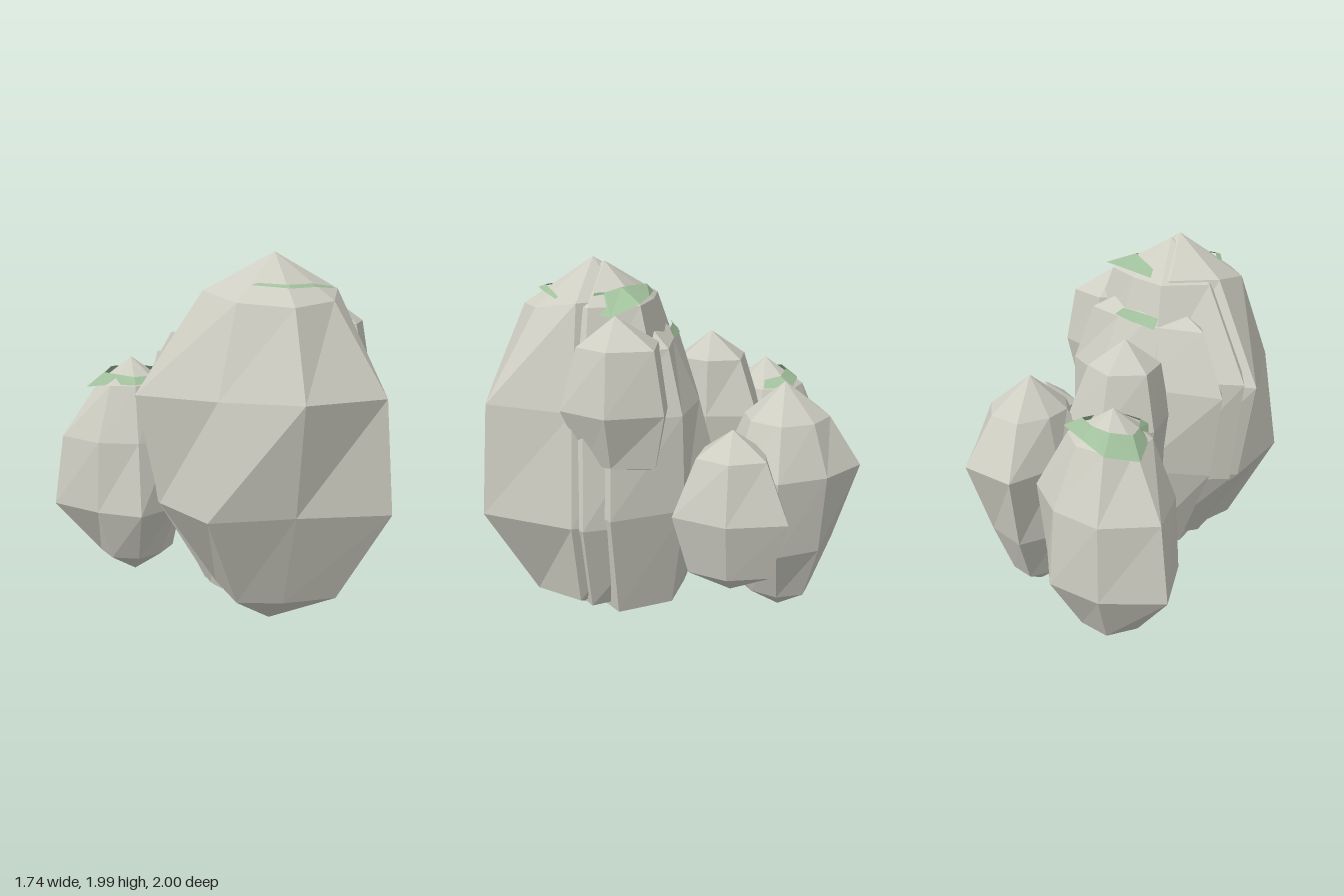
import * as THREE from 'three';

const stone = new THREE.MeshStandardMaterial({ color: 0xcdcdc2, flatShading: true });
stone.name = 'stone';
const moss = new THREE.MeshStandardMaterial({ color: 0xa0bf9b, flatShading: true, side: THREE.DoubleSide });
moss.name = 'moss';

function meshFrom(name, points, index, material) {
  const geo = new THREE.BufferGeometry();
  geo.setAttribute('position', new THREE.Float32BufferAttribute(points, 3));
  geo.setIndex(index);
  geo.computeVertexNormals();
  const mesh = new THREE.Mesh(geo, material);
  mesh.name = name;
  return mesh;
}

// Faceted boulder: two poles joined by rings of radii (from +x round through +z).
// Each ring sits at height y, lowered by "dip" towards its front.
function boulder(name, x, z, top, bottom, rings) {
  const n = rings[0][1].length;
  const pts = [x, top, z, x, bottom, z];
  const idx = [];
  const at = (r, k) => 2 + r * n + (k % n);
  for (const [y, radii, dip = 0] of rings) {
    radii.forEach((r, k) => {
      const a = (k / n) * Math.PI * 2;
      pts.push(x + r * Math.cos(a), y - dip * Math.max(0, Math.sin(a)), z + r * Math.sin(a));
    });
  }
  const last = rings.length - 1;
  for (let k = 0; k < n; k++) {
    idx.push(0, at(0, k + 1), at(0, k));
    for (let r = 0; r < last; r++) {
      idx.push(at(r, k), at(r, k + 1), at(r + 1, k + 1), at(r, k), at(r + 1, k + 1), at(r + 1, k));
    }
    idx.push(1, at(last, k), at(last, k + 1));
  }
  return meshFrom(name, pts, idx, stone);
}

// Thin moss ribbon between an outer and an inner edge
function mossPatch(name, outer, inner) {
  const n = outer.length;
  const idx = [];
  for (let i = 0; i < n - 1; i++) idx.push(i, i + 1, n + i, i + 1, n + i + 1, n + i);
  return meshFrom(name, [...outer, ...inner].flat(), idx, moss);
}

export function createModel() {
  const group = new THREE.Group();
  group.name = 'boulderCluster';

  // Large boulder with two more merged into its back
  group.add(boulder('mainBoulder', 0.25, 0.42, 1.99, 0.0, [
    [1.8, [0.34, 0.34, 0.38, 0.36, 0.37, 0.34, 0.28, 0.28], 0.06],
    [1.28, [0.48, 0.64, 0.58, 0.52, 0.72, 0.5, 0.45, 0.45], -0.03],
    [0.7, [0.56, 0.69, 0.47, 0.61, 0.6, 0.5, 0.45, 0.5], -0.03],
    [0.24, [0.44, 0.4, 0.27, 0.34, 0.3, 0.3, 0.3, 0.3], 0.04],
  ]));
  group.add(boulder('mainBoulderMiddle', 0.25, 0.36, 1.97, 0.01, [
    [1.78, [0.34, 0.3, 0.3, 0.3, 0.36, 0.33, 0.26, 0.34]],
    [1.3, [0.49, 0.45, 0.4, 0.4, 0.69, 0.52, 0.41, 0.52]],
    [0.69, [0.56, 0.45, 0.4, 0.4, 0.6, 0.52, 0.5, 0.54]],
    [0.21, [0.43, 0.3, 0.3, 0.3, 0.32, 0.32, 0.36, 0.36]],
  ]));
  group.add(boulder('mainBoulderBack', 0.25, 0.22, 1.75, 0.01, [
    [1.57, [0.4, 0.25, 0.25, 0.25, 0.5, 0.3, 0.22, 0.34]],
    [1.25, [0.5, 0.4, 0.4, 0.4, 0.68, 0.42, 0.36, 0.46]],
    [0.75, [0.55, 0.4, 0.4, 0.4, 0.59, 0.45, 0.49, 0.48]],
    [0.18, [0.42, 0.3, 0.3, 0.3, 0.32, 0.3, 0.28, 0.36]],
  ]));

  // Small boulder high on the left flank
  group.add(boulder('flankBoulder', 0.61, 0.22, 1.75, 0.95, [
    [1.61, [0.2, 0.2, 0.2, 0.2, 0.22, 0.25]],
    [1.3, [0.26, 0.29, 0.27, 0.22, 0.28, 0.31]],
    [1.02, [0.16, 0.17, 0.15, 0.15, 0.22, 0.25]],
  ]));

  // Rear boulders
  group.add(boulder('backBoulder', 0.21, -0.59, 1.36, 0.06, [
    [1.18, [0.25, 0.23, 0.21, 0.2, 0.2, 0.25, 0.24, 0.23]],
    [0.92, [0.38, 0.33, 0.32, 0.33, 0.28, 0.43, 0.41, 0.34]],
    [0.5, [0.34, 0.32, 0.36, 0.34, 0.27, 0.34, 0.28, 0.3]],
    [0.2, [0.2, 0.2, 0.24, 0.2, 0.17, 0.2, 0.17, 0.2]],
  ]));
  group.add(boulder('rightBoulder', -0.39, -0.44, 1.35, 0.0, [
    [1.2, [0.2, 0.2, 0.19, 0.2, 0.2, 0.22, 0.22, 0.24]],
    [0.88, [0.32, 0.3, 0.3, 0.32, 0.42, 0.38, 0.36, 0.42]],
    [0.46, [0.31, 0.32, 0.38, 0.34, 0.48, 0.4, 0.4, 0.38]],
    [0.14, [0.24, 0.2, 0.21, 0.22, 0.21, 0.24, 0.22, 0.24]],
  ]));

  // Raised stones wedged between the large ones
  group.add(boulder('middleBoulder', -0.07, -0.16, 1.56, 0.6, [
    [1.42, [0.16, 0.18, 0.19, 0.2, 0.2, 0.2]],
    [1.12, [0.2, 0.22, 0.24, 0.27, 0.3, 0.32]],
    [0.74, [0.16, 0.18, 0.2, 0.2, 0.2, 0.2]],
  ]));
  group.add(boulder('leftBoulder', 0.5, -0.35, 1.17, 0.28, [
    [1.04, [0.18, 0.2, 0.18, 0.17, 0.18, 0.21]],
    [0.74, [0.26, 0.33, 0.3, 0.22, 0.26, 0.35]],
    [0.42, [0.19, 0.24, 0.2, 0.18, 0.2, 0.25]],
  ]));

  // Moss ribbons near the summits
  group.add(mossPatch('frontMoss',
    [[0.03, 1.84, 0.5], [0.1, 1.835, 0.61], [0.25, 1.825, 0.72], [0.4, 1.825, 0.64], [0.53, 1.81, 0.54]],
    [[0.05, 1.85, 0.49], [0.12, 1.845, 0.59], [0.25, 1.84, 0.68], [0.39, 1.84, 0.61], [0.52, 1.82, 0.53]]));
  group.add(mossPatch('summitMoss',
    [[0.12, 1.8, 0.13], [0.36, 1.81, 0.1], [0.55, 1.8, 0.11], [0.62, 1.74, 0.24], [0.54, 1.75, 0.37]],
    [[0.14, 1.84, 0.16], [0.38, 1.86, 0.22], [0.42, 1.86, 0.23], [0.47, 1.84, 0.3], [0.5, 1.84, 0.35]]));
  group.add(mossPatch('backMoss',
    [[-0.06, 1.57, 0.03], [0.1, 1.58, -0.01], [0.27, 1.58, -0.01]],
    [[-0.04, 1.62, 0.07], [0.1, 1.63, 0.03], [0.23, 1.62, 0.02]]));
  group.add(mossPatch('rightMoss',
    [[-0.18, 1.21, -0.45], [-0.18, 1.22, -0.61], [-0.39, 1.23, -0.63], [-0.57, 1.2, -0.61],
      [-0.66, 1.17, -0.46], [-0.54, 1.2, -0.33], [-0.39, 1.21, -0.23], [-0.26, 1.22, -0.28]],
    [[-0.22, 1.25, -0.45], [-0.25, 1.27, -0.54], [-0.39, 1.28, -0.56], [-0.5, 1.28, -0.53],
      [-0.55, 1.26, -0.43], [-0.5, 1.26, -0.36], [-0.39, 1.25, -0.28], [-0.28, 1.25, -0.32]]));

  return group;
}
